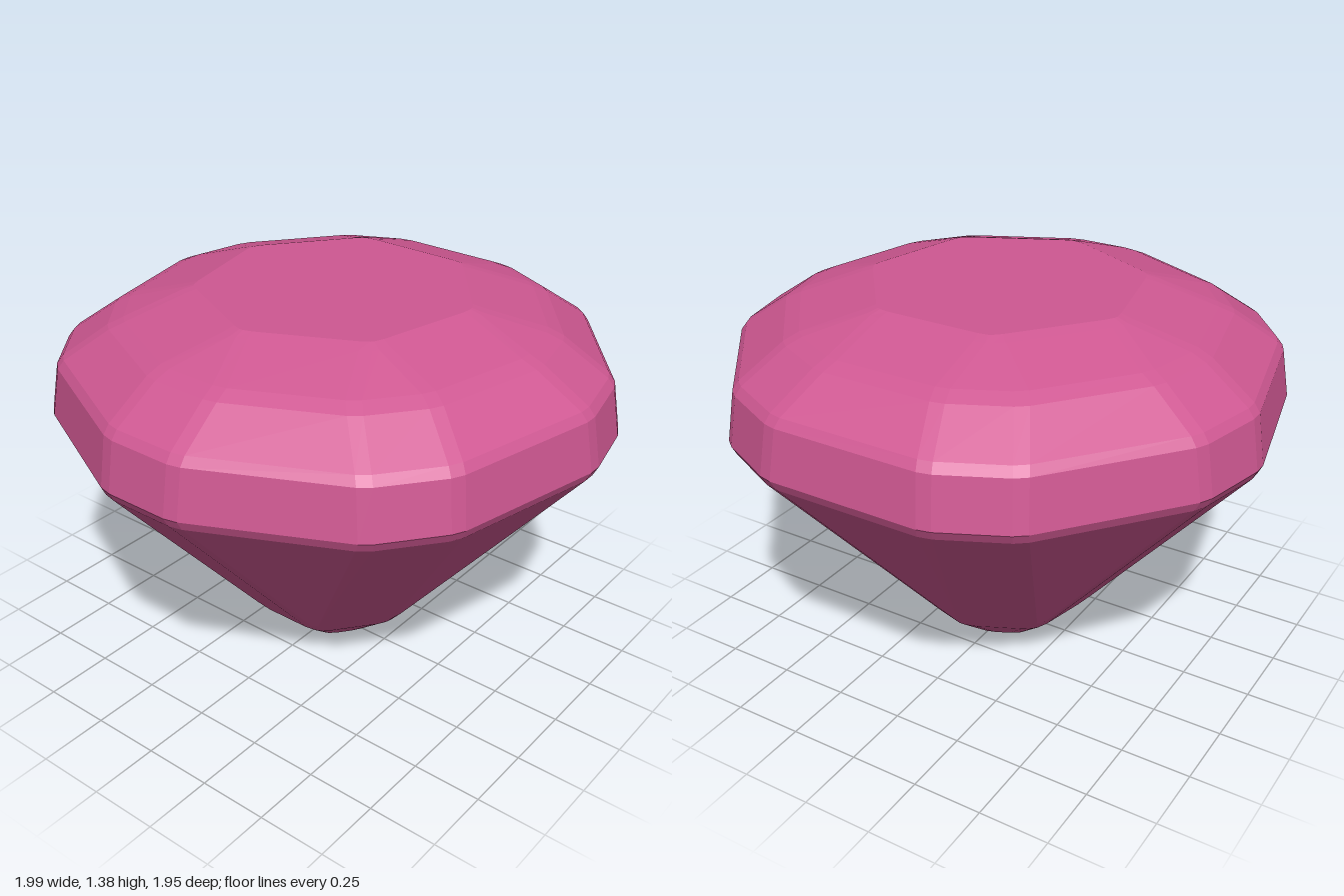
import * as THREE from 'three';

const SIDES = 7;
const CENTER_Z = -0.02;

// Heptagon with cut corners; every resulting corner is slightly bevelled.
// halfAngle (degrees) sets how wide the cut at each corner is.
function ring(radius, y, halfAngle) {
  const corners = [];
  for (let k = 0; k < SIDES; k++) {
    for (const s of [-1, 1]) {
      const a = (k * Math.PI * 2) / SIDES + s * THREE.MathUtils.degToRad(halfAngle);
      corners.push(new THREE.Vector3(Math.sin(a) * radius, y, Math.cos(a) * radius + CENTER_Z));
    }
  }
  const n = corners.length;
  const points = [];
  corners.forEach((c, i) => {
    for (const other of [corners[(i + n - 1) % n], corners[(i + 1) % n]]) {
      const f = Math.min(0.3, 0.025 / c.distanceTo(other));
      points.push(c.clone().lerp(other, f));
    }
  });
  return points;
}

// Skin consecutive rings, with optional flat caps, as hard-edged facets.
function facets(rings, capBottom, capTop) {
  const pos = [];
  const tri = (a, b, c) => [a, b, c].forEach((p) => pos.push(p.x, p.y, p.z));
  const n = rings[0].length;
  for (let i = 0; i < rings.length - 1; i++) {
    for (let j = 0; j < n; j++) {
      const k = (j + 1) % n;
      const [a, b, c, d] = [rings[i][j], rings[i][k], rings[i + 1][k], rings[i + 1][j]];
      tri(a, b, c);
      tri(a, c, d);
    }
  }
  const first = rings[0];
  const last = rings[rings.length - 1];
  for (let j = 0; j < n; j++) {
    const k = (j + 1) % n;
    if (capBottom) tri(new THREE.Vector3(0, first[0].y, CENTER_Z), first[k], first[j]);
    if (capTop) tri(new THREE.Vector3(0, last[0].y, CENTER_Z), last[j], last[k]);
  }
  const g = new THREE.BufferGeometry();
  g.setAttribute('position', new THREE.Float32BufferAttribute(pos, 3));
  g.computeVertexNormals();
  return g;
}

export function createModel() {
  const gem = new THREE.Group();
  gem.name = 'gem';
  const pink = new THREE.MeshStandardMaterial({ color: 0xcf5892 });
  pink.name = 'gem pink';

  const add = (name, profile, capBottom, capTop) => {
    const mesh = new THREE.Mesh(facets(profile.map((p) => ring(...p)), capBottom, capTop), pink);
    mesh.name = name;
    gem.add(mesh);
  };

  // Profiles: [radius, height, corner half angle]
  // Pavilion: lower cone whose main facets narrow to points near the flat tip
  add('pavilion', [
    [0.13, 0, 20],
    [0.155, 0.012, 20],
    [0.315, 0.14, 21],
    [0.365, 0.195, 20.5],
    [0.985, 0.93, 8.4],
  ], true, false);

  // Girdle: steep band around the widest part
  add('girdle', [
    [0.985, 0.93, 8.4],
    [1.003, 0.965, 8.2],
    [0.973, 1.14, 8.4],
  ], false, false);

  // Crown and table: two sloping tiers up to the flat seven-sided top
  add('crown', [
    [0.973, 1.14, 8.4],
    [0.95, 1.17, 8.5],
    [0.79, 1.278, 9.2],
    [0.735, 1.302, 9.2],
    [0.53, 1.368, 3],
    [0.49, 1.38, 2],
  ], false, true);

  return gem;
}
